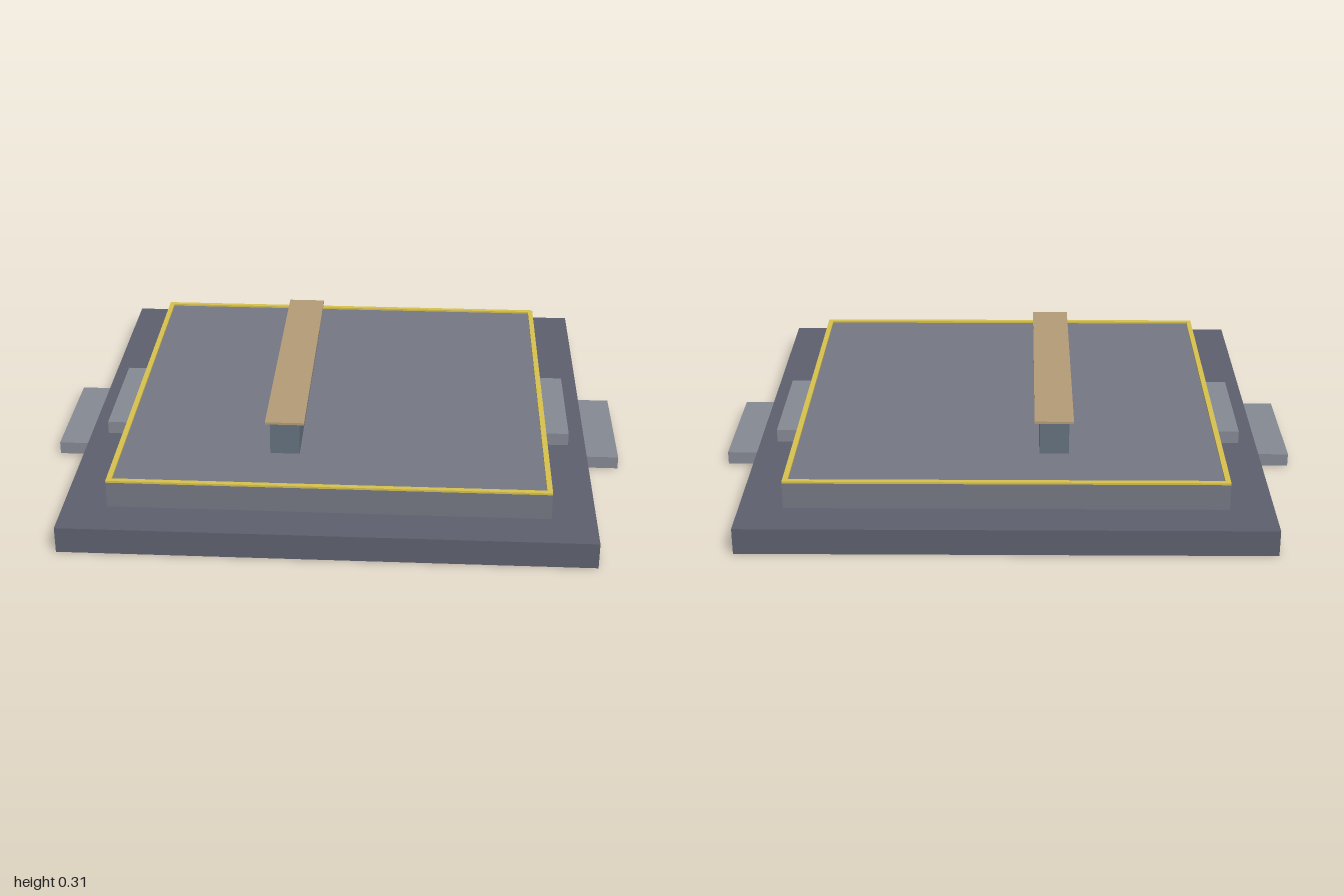
import * as THREE from 'three';

const paint = (color) => new THREE.MeshStandardMaterial({ color });

export function createModel() {
  const model = new THREE.Group();
  const mats = {
    base: paint(0x5e616e), slab: paint(0x757984), step: paint(0x868a94),
    bench: paint(0x66727f), wood: paint(0xb59c78), trim: paint(0xd8c24e),
  };

  // Box spanning x0..x1, y0..y1, and centred on z
  function block(name, mat, x0, x1, y0, y1, depth, z = 0) {
    const mesh = new THREE.Mesh(new THREE.BoxGeometry(x1 - x0, y1 - y0, depth), mat);
    mesh.position.set((x0 + x1) / 2, (y0 + y1) / 2, z);
    mesh.name = name;
    model.add(mesh);
  }

  // Two stacked square tiers
  block('basePlatform', mats.base, -0.88, 0.88, 0, 0.09, 1.76);
  block('upperPlatform', mats.slab, -0.733, 0.733, 0.09, 0.18, 1.466);

  // Thin raised border around the upper tier
  const half = 0.733, inner = 0.715;
  const square = (path, r) => path.moveTo(-r, -r).lineTo(r, -r).lineTo(r, r).lineTo(-r, r).closePath();
  const outline = square(new THREE.Shape(), half);
  outline.holes.push(square(new THREE.Path(), inner));
  const border = new THREE.Mesh(
    new THREE.ExtrudeGeometry(outline, { depth: 0.007, bevelEnabled: false }), mats.trim);
  border.rotation.x = -Math.PI / 2;
  border.position.y = 0.18;
  border.name = 'platformBorder';
  model.add(border);

  // Steps on both sides, one per tier
  for (const [side, s] of [['left', 1], ['right', -1]]) {
    const step = (name, a, b, y0, y1) =>
      block(side + name, mats.step, Math.min(s * a, s * b), Math.max(s * a, s * b), y0, y1, 0.444);
    step('LowerStep', 0.88, 1, 0.002, 0.046);
    step('UpperStep', 0.733, 0.82, 0.09, 0.135);
  }

  // Long counter with an overhanging top
  block('counterBody', mats.bench, -0.21, -0.11, 0.18, 0.297, 1);
  block('counterTop', mats.wood, -0.225, -0.093, 0.297, 0.305, 1.03);

  return model;
}
